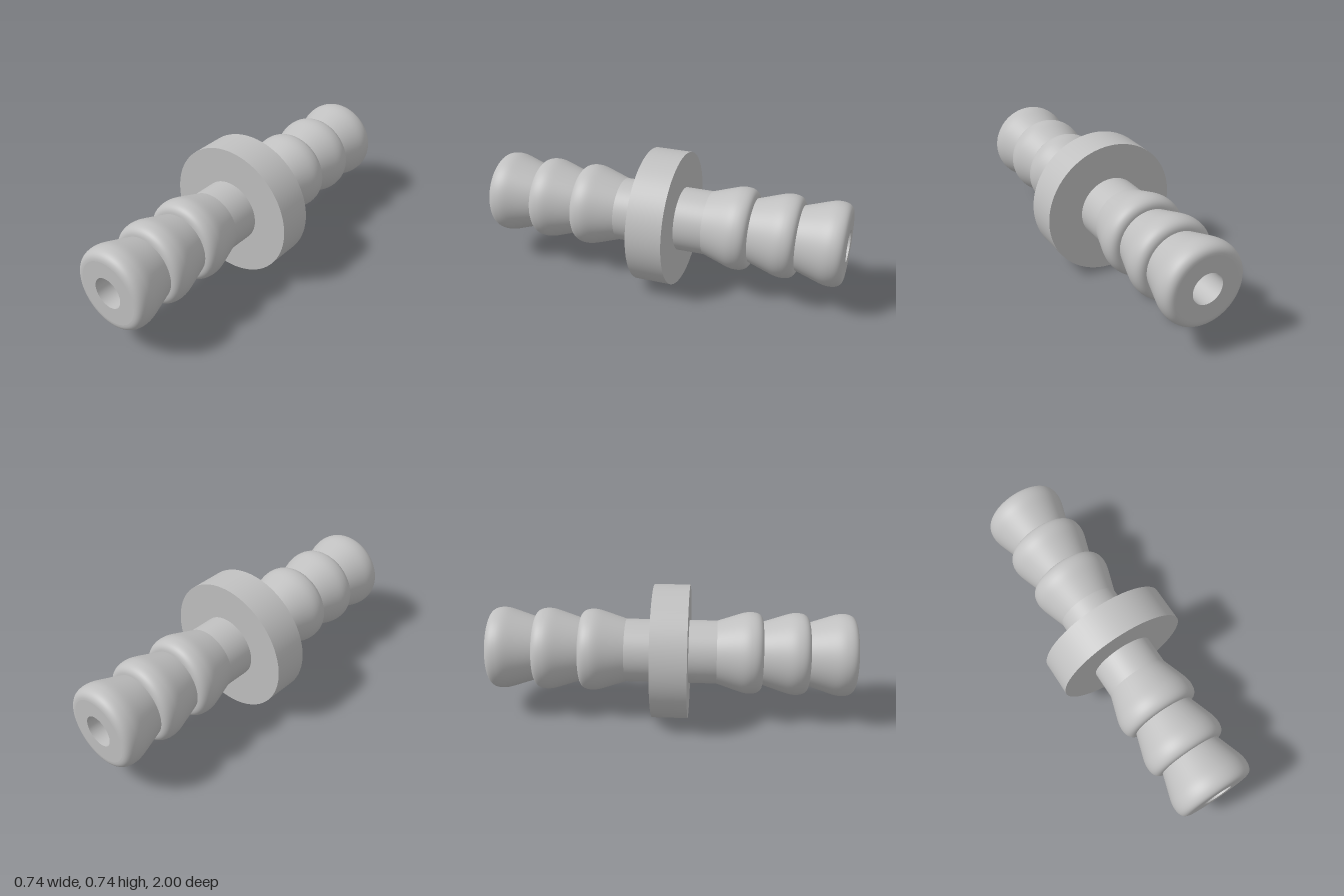
import * as THREE from 'three';

const SEGMENTS = 72;
const CENTER_Y = 0.368;
const FLANGE_R = 0.368, FLANGE_HALF = 0.098;
const STEM_R = 0.174, BORE_R = 0.084, BARB_LENGTH = 0.25;

export function createModel() {
  const plastic = new THREE.MeshStandardMaterial({ color: 0xc0c0c0 });
  plastic.name = 'grey plastic';

  const model = new THREE.Group();
  model.name = 'barbedHoseConnector';
  const body = new THREE.Group();
  body.name = 'connectorBody';
  body.position.y = CENTER_Y;
  model.add(body);

  // Surface of revolution around z; points are [radius, z]
  const revolve = (name, points, parent) => {
    const geometry = new THREE.LatheGeometry(
      points.map(([r, z]) => new THREE.Vector2(r, z)), SEGMENTS);
    geometry.rotateX(Math.PI / 2);
    const mesh = new THREE.Mesh(geometry, plastic);
    mesh.name = name;
    parent.add(mesh);
  };

  // Barb profile: flared cone, soft crown, rounded shoulder
  const barbProfile = (z) => {
    const path = new THREE.Path();
    path.moveTo(STEM_R, z);
    path.lineTo(0.205, z + 0.095);
    path.bezierCurveTo(0.218, z + 0.135, 0.225, z + 0.155, 0.225, z + 0.182);
    path.bezierCurveTo(0.225, z + 0.225, 0.208, z + BARB_LENGTH, STEM_R, z + BARB_LENGTH);
    return path.getPoints(10).map((p) => [p.x, p.y]);
  };

  // Central flange rim
  revolve('flangeRim', [[FLANGE_R, -FLANGE_HALF], [FLANGE_R, FLANGE_HALF]], body);

  // Two identical barbed ends
  for (const [name, turn] of [['frontEnd', 0], ['backEnd', Math.PI]]) {
    const end = new THREE.Group();
    end.name = name;
    end.rotation.y = turn;
    body.add(end);

    revolve('flangeFace', [[FLANGE_R, FLANGE_HALF], [STEM_R, FLANGE_HALF]], end);
    revolve('stem', [[STEM_R, FLANGE_HALF], [STEM_R, BARB_LENGTH]], end);
    for (let i = 1; i <= 3; i++) revolve(`barb${i}`, barbProfile(i * BARB_LENGTH), end);
    revolve('endFace', [[STEM_R, 1], [BORE_R, 1]], end);
  }

  // Through bore, facing inward
  revolve('bore', [[BORE_R, 1], [BORE_R, -1]], body);

  return model;
}
